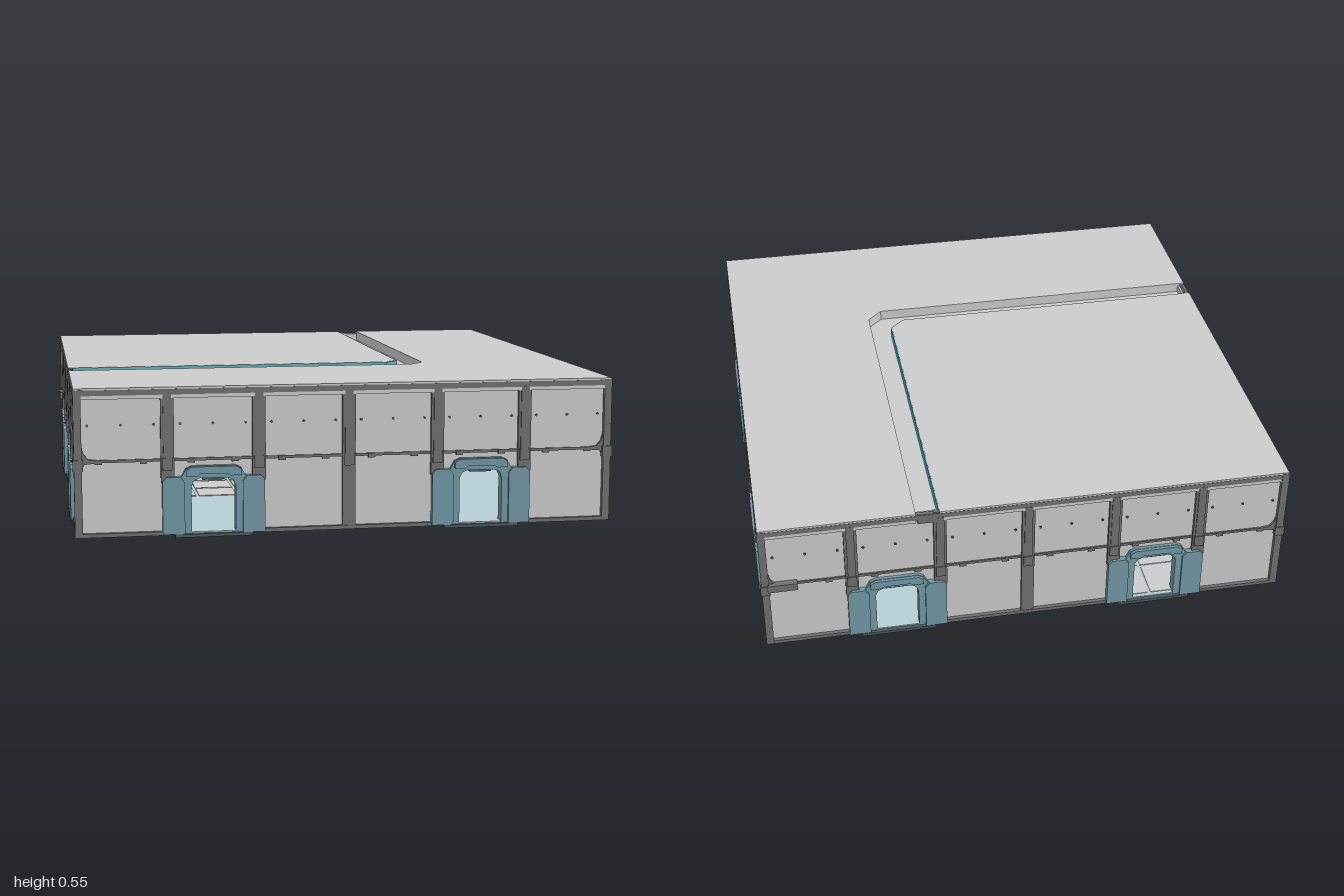
import * as THREE from 'three';

const material = (color) => new THREE.MeshStandardMaterial({ color, side: THREE.DoubleSide });

export function createModel() {
  const model = new THREE.Group();
  model.name = 'hallModule';
  const grey = material(0xcccccc), dark = material(0x707070), steel = material(0x7398a6);
  const slate = material(0x4c5a60), floorBlue = material(0xb4ced4), teal = material(0x5fb0b4);

  const add = (parent, name, geometry, mat) => {
    const mesh = new THREE.Mesh(geometry, mat);
    mesh.name = name;
    parent.add(mesh);
    return mesh;
  };
  // box given by its limits on each axis
  const box = (parent, name, mat, x0, x1, y0, y1, z0, z1) => {
    const g = new THREE.BoxGeometry(x1 - x0, y1 - y0, z1 - z0);
    g.translate((x0 + x1) / 2, (y0 + y1) / 2, (z0 + z1) / 2);
    return add(parent, name, g, mat);
  };
  const polygon = (pts) => new THREE.Shape(pts.map(([x, y]) => new THREE.Vector2(x, y)));
  // upright plate, extruded along z
  const plate = (parent, name, mat, shape, z0, z1) => {
    const g = new THREE.ExtrudeGeometry(shape, { depth: z1 - z0, bevelEnabled: false, curveSegments: 6 });
    g.translate(0, 0, z0);
    return add(parent, name, g, mat);
  };
  // flat slab, outline given as [x, z]
  const slab = (parent, name, mat, pts, y0, y1) => {
    const g = new THREE.ExtrudeGeometry(polygon(pts.map(([x, z]) => [x, -z])), { depth: y1 - y0, bevelEnabled: false });
    g.rotateX(-Math.PI / 2);
    g.translate(0, y0, 0);
    return add(parent, name, g, mat);
  };

  // door surround with an arched opening, centred on x = 0
  function doorway() {
    const door = new THREE.Group();
    door.name = 'doorway';
    const opening = (w, top, r) => [
      [w, 0.012], [w, top - r], [w - r * 0.3, top - r * 0.3], [w - r, top],
      [r - w, top], [r * 0.3 - w, top - r * 0.3], [-w, top - r], [-w, 0.012]];
    const frame = polygon([
      [-0.185, 0.012], [-0.185, 0.205], [-0.17, 0.22], [-0.115, 0.22], [-0.1, 0.248], [-0.08, 0.258],
      [0.08, 0.258], [0.1, 0.248], [0.115, 0.22], [0.17, 0.22], [0.185, 0.205], [0.185, 0.012],
      ...opening(0.08, 0.213, 0.03)]);
    plate(door, 'doorFrame', steel, frame, 0.945, 0.988);
    // raised jamb covers and lintel
    for (const s of [-1, 1]) {
      plate(door, 'jambCover', steel, polygon([
        [s * 0.105, 0.012], [s * 0.105, 0.2], [s * 0.12, 0.22], [s * 0.17, 0.22],
        [s * 0.185, 0.205], [s * 0.185, 0.012]]), 0.988, 0.998);
    }
    plate(door, 'lintelCover', steel, polygon([
      [-0.1, 0.222], [-0.1, 0.244], [-0.08, 0.256], [0.08, 0.256], [0.1, 0.244], [0.1, 0.222],
      [0.06, 0.222], [0.05, 0.23], [-0.05, 0.23], [-0.06, 0.222]]), 0.988, 1);
    box(door, 'lintelLamp', slate, -0.04, 0.04, 0.205, 0.213, 0.955, 0.98);
    box(door, 'threshold', slate, -0.14, 0.14, 0, 0.012, 0.93, 1);
    return door;
  }

  // one side, facing +z
  function wall() {
    const side = new THREE.Group();
    side.name = 'wall';
    const outline = [[-0.975, 0.015]];
    for (const c of [-0.495, 0.495]) {
      outline.push([c - 0.1, 0.015], [c - 0.1, 0.23], [c + 0.1, 0.23], [c + 0.1, 0.015]);
    }
    outline.push([0.975, 0.015], [0.975, 0.535], [-0.975, 0.535]);
    plate(side, 'wallPanels', grey, polygon(outline), 0.962, 0.975);

    // rails, broken at the doors along the bottom
    box(side, 'topRail', dark, -0.985, 0.985, 0.518, 0.538, 0.97, 0.991);
    for (const [a, b] of [[-0.985, -0.68], [-0.31, 0.31], [0.68, 0.985]]) {
      box(side, 'bottomRail', dark, a, b, 0.008, 0.022, 0.97, 0.99);
    }
    box(side, 'middleSeam', dark, -0.975, 0.975, 0.276, 0.286, 0.97, 0.98);

    // pillars with a thicker collar at the seam
    for (const x of [-0.66, -0.33, 0, 0.33, 0.66]) {
      const foot = x === 0 ? 0.01 : 0.2;
      box(side, 'pillar', dark, x - 0.024, x + 0.024, foot, 0.543, 0.97, 0.988);
      box(side, 'pillarRib', dark, x - 0.015, x + 0.015, 0.29, 0.52, 0.985, 0.992);
      box(side, 'pillarCollar', dark, x - 0.018, x + 0.018, 0.245, 0.29, 0.985, 0.995);
    }

    // rivets and seam lugs in each bay
    for (let i = 0; i < 6; i++) {
      const c = -0.825 + i * 0.33;
      for (const d of [-0.118, 0, 0.118]) {
        const rivet = new THREE.CylinderGeometry(0.005, 0.005, 0.006, 8);
        rivet.rotateX(Math.PI / 2);
        rivet.translate(c + d, 0.41, 0.976);
        add(side, 'rivet', rivet, slate);
      }
      for (const d of [-0.08, 0.08]) {
        box(side, 'seamLug', dark, c + d - 0.013, c + d + 0.013, 0.27, 0.285, 0.972, 0.983);
      }
    }

    // flared gussets beside the corner posts
    for (const s of [-1, 1]) {
      plate(side, 'cornerGusset', dark, polygon([
        [s * 0.975, 0.38], [s * 0.965, 0.34], [s * 0.957, 0.31], [s * 0.94, 0.29],
        [s * 0.9, 0.285], [s * 0.9, 0.277], [s * 0.955, 0.272], [s * 0.965, 0.25], [s * 0.975, 0.24]]), 0.97, 0.984);
    }
    for (const c of [-0.495, 0.495]) {
      const door = doorway();
      door.position.x = c;
      side.add(door);
    }
    return side;
  }

  for (let i = 0; i < 4; i++) {
    const side = wall();
    side.rotation.y = i * Math.PI / 2;
    model.add(side);
  }
  for (const sx of [-1, 1]) {
    for (const sz of [-1, 1]) {
      const post = new THREE.Group();
      post.name = 'cornerPost';
      post.position.set(sx * 0.978, 0, sz * 0.978);
      box(post, 'post', dark, -0.014, 0.014, 0.01, 0.54, -0.014, 0.014);
      box(post, 'postCollar', dark, -0.018, 0.018, 0.25, 0.29, -0.018, 0.018);
      model.add(post);
    }
  }
  // small wall boxes near two corners
  box(model, 'backWallBox', dark, 0.86, 0.97, 0.265, 0.295, -1, -0.97);
  box(model, 'sideWallBox', dark, -1, -0.97, 0.265, 0.295, -0.97, -0.86);

  // roof in two slabs with an L-shaped channel between them
  const e = 0.99, top = 0.545, low = 0.505;
  box(model, 'channelBed', grey, -0.965, 0.965, 0.495, low, -0.965, 0.965);
  slab(model, 'innerRoof', grey, [[-e, -e], [0.33, -e], [0.33, 0.285], [0.275, 0.34], [-e, 0.34]], low, top);
  slab(model, 'channelLining', teal, [
    [0.33, -0.975], [0.334, -0.975], [0.334, 0.287], [0.277, 0.344], [-0.975, 0.344],
    [-0.975, 0.34], [0.275, 0.34], [0.33, 0.285]], low, top - 0.001);
  slab(model, 'outerRoof', grey, [
    [0.418, -e], [e, -e], [e, e], [-e, e], [-e, 0.428], [0.36, 0.428], [0.418, 0.37]], low, top);
  box(model, 'channelEndBack', dark, 0.342, 0.412, 0.5, 0.54, -0.99, -0.978);
  box(model, 'channelEndSide', dark, -0.99, -0.978, 0.5, 0.54, 0.352, 0.422);

  // floor, with a tiled quarter and ribs below it
  box(model, 'floor', floorBlue, -0.985, 0.985, 0.008, 0.017, -0.985, 0.985);
  const start = -0.975, pitch = 0.163, count = 8, end = start + pitch * count;
  for (let i = 0; i <= count; i++) {
    const p = start + i * pitch;
    box(model, 'floorRib', slate, p - 0.006, p + 0.006, 0.004, 0.009, start, end);
    box(model, 'floorRib', slate, start, end, 0.004, 0.009, p - 0.006, p + 0.006);
  }
  for (let i = 0; i < count; i++) {
    for (let j = 0; j < count; j++) {
      const x = start + i * pitch, z = start + j * pitch;
      box(model, 'floorTile', grey, x + 0.006, x + pitch - 0.006, 0.016, 0.02, z + 0.006, z + pitch - 0.006);
    }
  }
  return model;
}
